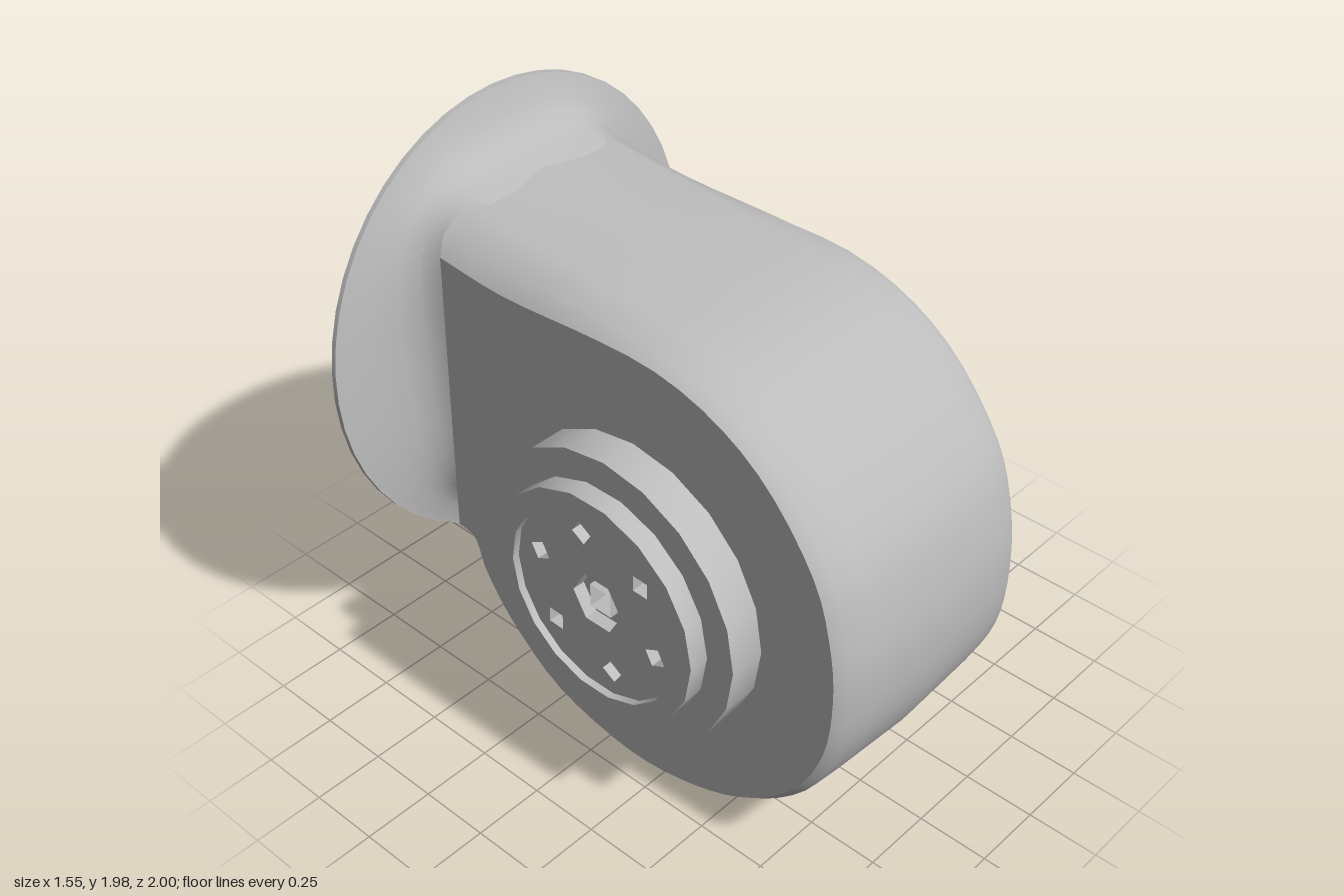
import * as THREE from 'three';
import { toCreasedNormals } from 'three/addons/utils/BufferGeometryUtils.js';

const metal = new THREE.MeshStandardMaterial({ color: 0xbcbcbc, side: THREE.DoubleSide });
metal.name = 'castGrey';

// Hub axis of the housing (z, y)
const HZ = 0.175, HY = 0.83;

function add(parent, name, geometry) {
  const mesh = new THREE.Mesh(geometry, metal);
  mesh.name = name;
  parent.add(mesh);
  return mesh;
}

// Skin closed rings of points into a surface
function loft(rings) {
  const n = rings[0].length, pos = rings.flat().flatMap(p => [p.x, p.y, p.z]), idx = [];
  for (let r = 0; r < rings.length - 1; r++) {
    for (let i = 0; i < n; i++) {
      const a = r * n + i, b = r * n + (i + 1) % n;
      idx.push(a, b, a + n, b, b + n, a + n);
    }
  }
  const g = new THREE.BufferGeometry();
  g.setAttribute('position', new THREE.Float32BufferAttribute(pos, 3));
  g.setIndex(idx);
  g.computeVertexNormals();
  return toCreasedNormals(g, 0.6);
}

// Regular polygon outline
function ngon(cx, cy, r, n, turn = 0) {
  return Array.from({ length: n }, (_, i) => {
    const a = turn + i / n * Math.PI * 2;
    return new THREE.Vector2(cx + r * Math.cos(a), cy + r * Math.sin(a));
  });
}

// Flat slab with holes, from depth a to depth b
function slab(outline, holes, a, b) {
  const shape = new THREE.Shape(outline);
  holes.forEach(h => shape.holes.push(new THREE.Path(h)));
  const g = new THREE.ExtrudeGeometry(shape, { depth: b - a, bevelEnabled: false });
  g.translate(0, 0, a);
  return toCreasedNormals(g, 0.5);
}

// Same slab turned to lie across x; outlines use (-z, y)
const sideSlab = (outline, holes, a, b) => slab(outline, holes, a, b).rotateY(Math.PI / 2);

// Snail outline (z, y)
const snail = new THREE.SplineCurve([
  [-0.68, 0.57], [-0.6, 0.55], [-0.55, 0.42], [-0.42, 0.25], [-0.2, 0.085], [0.12, 0.012],
  [0.4, 0.045], [0.65, 0.15], [0.85, 0.33], [0.96, 0.55], [0.99, 0.78], [0.97, 1.0],
  [0.89, 1.24], [0.68, 1.495], [0.4, 1.64], [0, 1.695], [-0.4, 1.73], [-0.66, 1.755],
].map(p => new THREE.Vector2(...p))).getPoints(64);

// Outline scaled about its middle; drop lowers the top towards the neck
const outline = (k, drop) => snail.map(p => new THREE.Vector2(
  0.1 + (p.x - 0.1) * k,
  0.9 + (p.y - 0.9) * k - (p.y > 1.2 ? drop * THREE.MathUtils.smoothstep(-p.x, -0.3, 0.5) : 0)));
const flip = pts => pts.map(p => new THREE.Vector2(-p.x, p.y));

function buildHousing() {
  const g = new THREE.Group();
  g.name = 'housing';
  // Rim with crowned middle and chamfered edges: x, scale, drop
  const stations = [[-0.445, 0.96, 0.085], [-0.405, 0.99, 0.055], [-0.3, 0.998, 0.005], [0, 1.012, 0],
    [0.3, 0.998, 0.005], [0.385, 0.99, 0.055], [0.42, 0.965, 0.085]];
  add(g, 'scrollRim', loft(stations.map(([x, k, d]) => outline(k, d).map(p => new THREE.Vector3(x, p.y, p.x)))));

  const bore = ngon(-HZ, HY, 0.06, 4, Math.PI / 4);
  // Bolt pockets in the side face (z, y, radius, corners)
  const pockets = [
    [0.19, 1.545, 0.055, 4], [0.46, 1.355, 0.042, 4], [-0.15, 1.33, 0.045, 4], [0.75, 0.88, 0.045, 4],
    [-0.42, 0.8, 0.042, 4], [0.8, 0.47, 0.065, 5], [-0.44, 0.475, 0.06, 5], [0.48, 0.33, 0.042, 4],
    [-0.08, 0.305, 0.055, 5], [-0.38, 1.17, 0.085, 5],
  ].map(([z, y, r, n]) => ngon(-z, y, r, n, Math.PI / 4));
  add(g, 'sideFace', sideSlab(flip(outline(0.965, 0.085)), [ngon(-HZ, HY, 0.53, 28), ...pockets], 0.28, 0.42));
  add(g, 'recessFloor', sideSlab(flip(outline(0.95, 0.085)), [bore], 0.25, 0.28));
  add(g, 'backFace', sideSlab(flip(outline(0.96, 0.085)), [bore], -0.445, -0.425));

  // Tapered wall of the round recess
  const wall = new THREE.CylinderGeometry(0.53, 0.46, 0.14, 28, 1, true);
  wall.rotateZ(-Math.PI / 2).translate(0.35, HY, HZ);
  add(g, 'recessWall', wall);

  // Square bore running right through
  const at = x => bore.map(p => new THREE.Vector3(x, p.y, -p.x));
  add(g, 'boreWall', loft([at(-0.6), at(0.27)]));
  return g;
}

function buildHub() {
  const g = new THREE.Group();
  g.name = 'hub';
  const bore = ngon(-HZ, HY, 0.06, 4, Math.PI / 4);
  const bolts = Array.from({ length: 6 }, (_, i) => {
    const a = i / 6 * Math.PI * 2 + 0.3;
    return ngon(-HZ + 0.25 * Math.cos(a), HY + 0.25 * Math.sin(a), 0.04, 4, a);
  });
  add(g, 'hubBase', sideSlab(ngon(-HZ, HY, 0.508, 20), [bore], -0.57, -0.44));
  add(g, 'hubRing', sideSlab(ngon(-HZ, HY, 0.407, 18), [ngon(-HZ, HY, 0.34, 18)], -0.64, -0.57));
  add(g, 'hubPlate', sideSlab(ngon(-HZ, HY, 0.345, 18), [ngon(-HZ, HY, 0.1, 6), ...bolts], -0.615, -0.57));
  return g;
}

function buildFlange() {
  const g = new THREE.Group();
  g.name = 'flange';
  g.position.set(0, 1.19, -0.79);
  g.rotation.x = -0.06;

  // Boxy neck flaring to a round rim: z, half width, half height, squareness
  const sections = [[0.22, 0.41, 0.55, 5.5], [0.14, 0.435, 0.58, 4.6], [0.09, 0.465, 0.605, 3.8],
    [0.055, 0.53, 0.65, 3], [0.03, 0.62, 0.705, 2.4], [0.01, 0.775, 0.79, 2]];
  const pow = (v, n) => Math.sign(v) * Math.abs(v) ** (2 / n);
  add(g, 'neckFlare', loft(sections.map(([z, rx, ry, n]) => Array.from({ length: 56 }, (_, i) => {
    const a = -i / 56 * Math.PI * 2;
    return new THREE.Vector3(rx * pow(Math.cos(a), n), ry * pow(Math.sin(a), n), z);
  }))));
  const disc = slab(ngon(0, 0, 0.78, 48), [], -0.008, 0.01);
  disc.scale(0.995, 1.015, 1);
  add(g, 'flangeDisc', disc);

  // Stepped rear cover with hexagonal socket and bolt pockets
  const socket = ngon(0, 0, 0.12, 6);
  const bolts = Array.from({ length: 6 }, (_, i) => {
    const a = i / 6 * Math.PI * 2 + 0.5;
    return ngon(0.27 * Math.cos(a), 0.27 * Math.sin(a), 0.042, 4, a);
  });
  add(g, 'coverBase', slab(ngon(0, 0.01, 0.48, 18), [socket], -0.08, 0));
  add(g, 'coverStep', slab(ngon(0, 0.01, 0.43, 18), [socket, ...bolts], -0.155, -0.08));
  add(g, 'coverFace', slab(ngon(0, 0.01, 0.36, 16), [socket, ...bolts], -0.175, -0.155));

  // Small latch standing above the cover
  const stem = add(g, 'latchStem', new THREE.BoxGeometry(0.07, 0.2, 0.04));
  stem.position.set(0.05, 0.45, -0.13);
  const head = add(g, 'latchHead', new THREE.BoxGeometry(0.14, 0.09, 0.07));
  head.position.set(0.05, 0.56, -0.14);
  return g;
}

export function createModel() {
  const model = new THREE.Group();
  model.name = 'blowerHousing';
  model.add(buildHousing(), buildHub(), buildFlange());
  return model;
}
